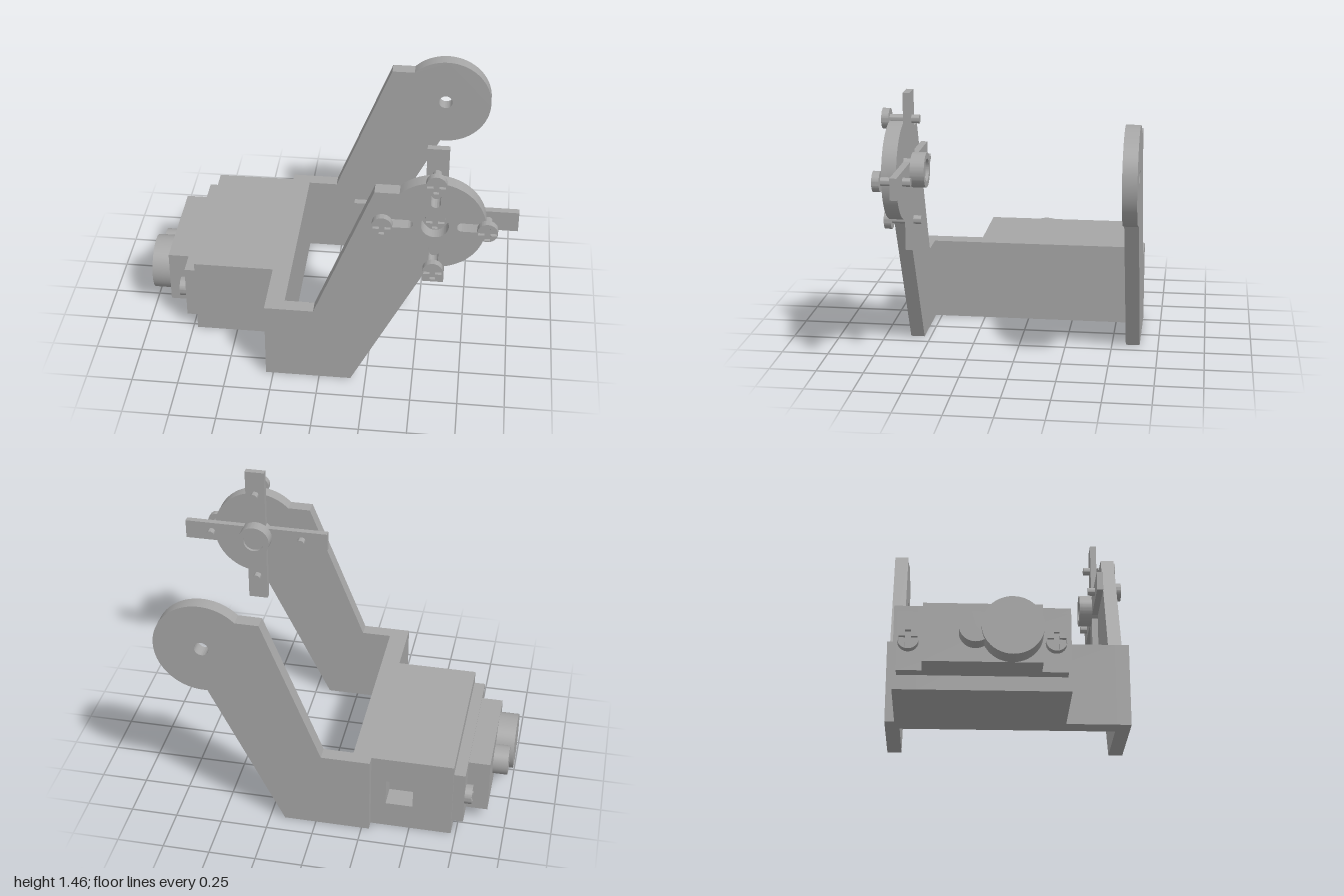
import * as THREE from 'three';
import { toCreasedNormals } from 'three/addons/utils/BufferGeometryUtils.js';

const CX = 0.585, CY = 1.05;   // pivot axis of the bracket arms
const MID = 0.225;             // height of the motor axis

export function createModel() {
  const model = new THREE.Group();
  model.name = 'servoBracket';
  const grey = new THREE.MeshStandardMaterial({ color: 0xa6a6a6 });
  grey.name = 'grey';

  function add(name, geometry, parent = model) {
    const mesh = new THREE.Mesh(geometry, grey);
    mesh.name = name;
    parent.add(mesh);
    return mesh;
  }

  // box from its lower and upper limits
  function box(name, x0, x1, y0, y1, z0, z1, parent) {
    const m = add(name, new THREE.BoxGeometry(x1 - x0, y1 - y0, z1 - z0), parent);
    m.position.set((x0 + x1) / 2, (y0 + y1) / 2, (z0 + z1) / 2);
    return m;
  }

  // shape pushed out from z0 to z1
  function plate(name, shape, z0, z1, parent) {
    const g = new THREE.ExtrudeGeometry(shape, { depth: z1 - z0, bevelEnabled: false, curveSegments: 40 });
    g.translate(0, 0, z0);
    return add(name, toCreasedNormals(g, 0.5), parent);
  }

  const circle = (Type, x, y, r) => new Type().absarc(x, y, r, 0, Math.PI * 2, false);

  const rectPath = (x0, x1, y0, y1, Type) => new Type([
    [x0, y0], [x1, y0], [x1, y1], [x0, y1],
  ].map(([x, y]) => new THREE.Vector2(x, y)));

  // round-ended slot that runs outward from the pivot at angle a
  function slot(a, from, to, r) {
    const p = new THREE.Path();
    const c = Math.cos(a), s = Math.sin(a);
    p.absarc(CX + c * to, CY + s * to, r, a - Math.PI / 2, a + Math.PI / 2, false);
    p.absarc(CX + c * from, CY + s * from, r, a + Math.PI / 2, a + Math.PI * 1.5, false);
    p.closePath();
    return p;
  }

  // outline of a side arm: foot, sloping neck and round end
  function armShape() {
    const s = new THREE.Shape();
    s.moveTo(-0.29, 0);
    s.lineTo(0.17, 0);
    s.absarc(CX, CY, 0.255, -Math.PI * 0.525, Math.PI * 0.75, false);
    s.lineTo(0.28, 1.23);
    s.lineTo(-0.03, 0.445);
    s.lineTo(-0.29, 0.445);
    s.closePath();
    return s;
  }

  // cross-head screw facing +z, seated at its origin
  function screw(name, x, y, z, height, shaftLength) {
    const g = new THREE.Group();
    g.name = name;
    g.position.set(x, y, z);
    const w = 0.014, l = 0.046, r = 0.052;
    const face = circle(THREE.Shape, 0, 0, r);
    face.holes.push(new THREE.Path([
      [w, w], [w, l], [-w, l], [-w, w], [-l, w], [-l, -w],
      [-w, -w], [-w, -l], [w, -l], [w, -w], [l, -w], [l, w],
    ].map(([px, py]) => new THREE.Vector2(px, py))));
    plate('screwHead', circle(THREE.Shape, 0, 0, r), 0, height / 2, g);
    plate('screwCross', face, height / 2, height, g);
    if (shaftLength) plate('screwShaft', circle(THREE.Shape, 0, 0, 0.022), -shaftLength, 0, g);
    model.add(g);
    return g;
  }

  // bracket: two arms joined by a web
  const frontArm = armShape();
  frontArm.holes.push(circle(THREE.Path, CX, CY, 0.07));
  for (let i = 0; i < 4; i++) frontArm.holes.push(slot(i * Math.PI / 2, 0.135, 0.215, 0.025));
  plate('frontArm', frontArm, 0.535, 0.61);

  const backArm = armShape();
  backArm.holes.push(circle(THREE.Path, CX, CY, 0.038));
  plate('backArm', backArm, -0.65, -0.575);
  box('web', -0.29, -0.19, 0, 0.445, -0.575, 0.535);

  // motor housing with a square cable opening in its back wall
  box('housing', -0.725, -0.29, 0, 0.445, -0.48, 0.275);
  const wall = rectPath(-0.725, -0.29, 0, 0.445, THREE.Shape);
  wall.holes.push(rectPath(-0.515, -0.37, 0.15, 0.3, THREE.Path));
  plate('housingBackWall', wall, -0.6, -0.48);

  // motor
  box('motorFlange', -0.785, -0.725, 0.075, 0.385, -0.58, 0.255);
  box('motorBody', -0.9, -0.785, 0.075, 0.38, -0.455, 0.125);
  for (const [name, r, length, z] of [['motorBoss', 0.15, 0.1, -0.023], ['motorSmallBoss', 0.08, 0.08, -0.2]]) {
    const m = add(name, new THREE.CylinderGeometry(r, r, length, 48));
    m.rotation.z = Math.PI / 2;
    m.position.set(-0.9 - length / 2, MID, z);
  }
  for (const z of [-0.525, 0.195]) {
    screw('flangeScrew', -0.785, MID, z, 0.038, 0).rotation.y = -Math.PI / 2;
  }

  // cross-shaped horn behind the front arm
  box('hornUpright', 0.53, 0.64, 0.64, 1.455, 0.5, 0.535);
  box('hornCrossbar', 0.175, 1, 0.995, 1.105, 0.5, 0.535);
  const rim = circle(THREE.Shape, CX, CY, 0.09);
  rim.holes.push(circle(THREE.Path, CX, CY, 0.058));
  plate('hornHub', circle(THREE.Shape, CX, CY, 0.09), 0.445, 0.535);
  plate('hornHubRim', rim, 0.428, 0.445);

  // horn screws: four in the slots, one sunk in the middle
  for (const [dx, dy] of [[1, 0], [0, 1], [-1, 0], [0, -1]]) {
    screw('hornScrew', CX + dx * 0.263, CY + dy * 0.263, 0.61, 0.037, 0.15);
  }
  screw('pivotScrew', CX, CY, 0.535, 0.036, 0);

  return model;
}
